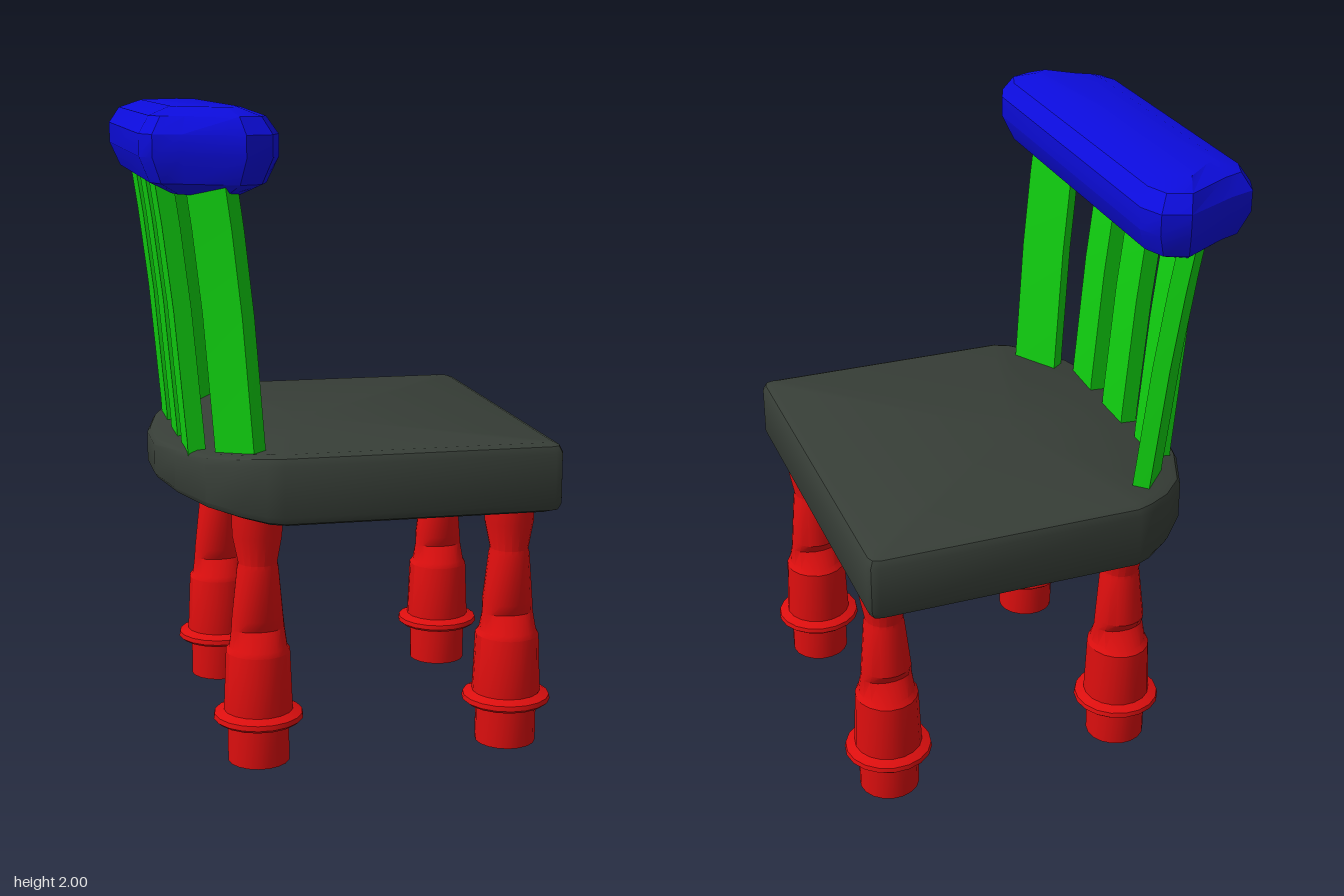
import * as THREE from 'three';
import { toCreasedNormals } from 'three/addons/utils/BufferGeometryUtils.js';

// Skin a stack of equal-length loops (bottom to top, anticlockwise from above) and cap both ends.
function loft(loops, crease = 0.5) {
  const n = loops[0].length, pos = loops.flat(2), idx = [];
  for (let i = 0; i < loops.length - 1; i++) {
    for (let j = 0; j < n; j++) {
      const k = (j + 1) % n, a = i * n + j, b = i * n + k, c = b + n, d = a + n;
      idx.push(a, b, c, a, c, d);
    }
  }
  [loops[0], loops[loops.length - 1]].forEach((loop, top) => {
    const centre = pos.length / 3, base = top ? (loops.length - 1) * n : 0;
    for (let c = 0; c < 3; c++) pos.push(loop.reduce((s, p) => s + p[c], 0) / n);
    for (let j = 0; j < n; j++) {
      const a = base + j, b = base + (j + 1) % n;
      idx.push(centre, ...(top ? [a, b] : [b, a]));
    }
  });
  const g = new THREE.BufferGeometry();
  g.setAttribute('position', new THREE.Float32BufferAttribute(pos, 3));
  g.setIndex(idx);
  return toCreasedNormals(g, crease);
}

// Mirror a half outline, listed from front to back as [x, z], into a closed loop.
const mirrored = half => [...half.map(([x, z]) => [x, -z]), ...half.slice().reverse()];

// Shrink an outline by an inset and raise it to height y.
function ring(outline, y, inset, cx, hx, hz) {
  return outline.map(([x, z]) => [cx + (x - cx) * (1 - inset / hx), y, z * (1 - inset / hz)]);
}

export function createModel() {
  const group = new THREE.Group();
  const paint = (name, color) => {
    const m = new THREE.MeshStandardMaterial({ color });
    m.name = name;
    return m;
  };
  const charcoal = paint('charcoal', 0x373e37);
  const blue = paint('blue', 0x0c0cdc);
  const green = paint('green', 0x10d010);
  const red = paint('red', 0xdc0e0e);
  const add = (name, geometry, material, x = 0, y = 0, z = 0) => {
    const mesh = new THREE.Mesh(geometry, material);
    mesh.name = name;
    mesh.position.set(x, y, z);
    group.add(mesh);
    return mesh;
  };

  // Seat: square front, bowed back edge that thins out
  const seatOutline = mirrored([
    [0.61, 0.595], [0.602, 0.617], [0.58, 0.625], [-0.25, 0.625], [-0.30, 0.605],
    [-0.38, 0.55], [-0.46, 0.46], [-0.53, 0.29], [-0.57, 0.1],
  ]);
  const seatLoops = [[0.785, 0.03], [0.794, 0.009], [0.815, 0], [0.97, 0], [0.991, 0.009], [1.0, 0.03]]
    .map(([y, inset]) => ring(seatOutline, y, inset, 0.02, 0.59, 0.625).map(([x, py, z]) => {
      const t = Math.min(1, Math.max(0, (-0.28 - x) / 0.29));
      return [x, 0.893 + (py - 0.893) * (1 - 0.4 * t), z];
    }));
  add('seat', loft(seatLoops, 0.6), charcoal, 0, 0, -0.015);

  // Top rail: thick bevelled bar with angled ends
  const railOutline = mirrored([
    [-0.25, 0.54], [-0.28, 0.615], [-0.36, 0.645], [-0.53, 0.558], [-0.61, 0.53], [-0.64, 0.46],
  ]);
  const railLoops = [[1.75, 0.1], [1.785, 0.032], [1.86, 0], [1.925, 0], [1.975, 0.032], [2.0, 0.1]]
    .map(([y, inset]) => ring(railOutline, y, inset, -0.445, 0.195, 0.645));
  add('topRail', loft(railLoops), blue);

  // Back slats: leaning, slightly bent boards; the outer pair turns inwards and splays
  const bend = [[0.9, 0.005], [1.0, 0], [1.4, -0.035], [1.65, -0.065], [1.82, -0.09]];
  const slat = (x, z, turn, splay) => {
    const c = Math.cos(turn), s = Math.sin(turn);
    const corners = [[0.027, 0.077], [0.027, -0.077], [-0.027, -0.077], [-0.027, 0.077]];
    return loft(bend.map(([y, dx]) => corners.map(([u, w]) =>
      [x + dx + u * c + w * s, y, z - u * s + w * c + splay * (y - 1) / 0.77])));
  };
  [-0.245, 0.013, 0.265].forEach(z => add('backSlat', slat(-0.472, z, 0, 0), green));
  add('outerBackSlat', slat(-0.355, 0.447, 0.7, 0.05), green);
  add('outerBackSlat', slat(-0.355, -0.455, -0.7, -0.05), green);

  // Legs: turned foot and collar, pinched waist, flared neck; rows are [y, rx, rz, dz]
  const legRows = [
    [0, 0.096, 0.096, 0], [0.125, 0.096, 0.096, 0], [0.13, 0.128, 0.128, 0],
    [0.14, 0.14, 0.14, 0], [0.155, 0.137, 0.137, 0], [0.167, 0.108, 0.108, 0],
    [0.355, 0.1, 0.105, 0], [0.37, 0.09, 0.094, 0.004], [0.425, 0.083, 0.056, 0.002],
    [0.46, 0.08, 0.075, -0.003], [0.62, 0.064, 0.066, 0.006], [0.635, 0.06, 0.062, 0.006],
    [0.72, 0.077, 0.077, 0], [0.8, 0.079, 0.079, 0],
  ];
  const sides = 18;
  const legGeometry = loft(legRows.map(([y, rx, rz, dz]) => Array.from({ length: sides }, (_, j) => {
    const a = j / sides * Math.PI * 2;
    return [rx * Math.cos(a), y, dz - rz * Math.sin(a)];
  })));
  for (const [name, x] of [['frontLeg', 0.498], ['backLeg', -0.3]]) {
    for (const z of [0.415, -0.403]) add(name, legGeometry, red, x, 0, z);
  }

  return group;
}
